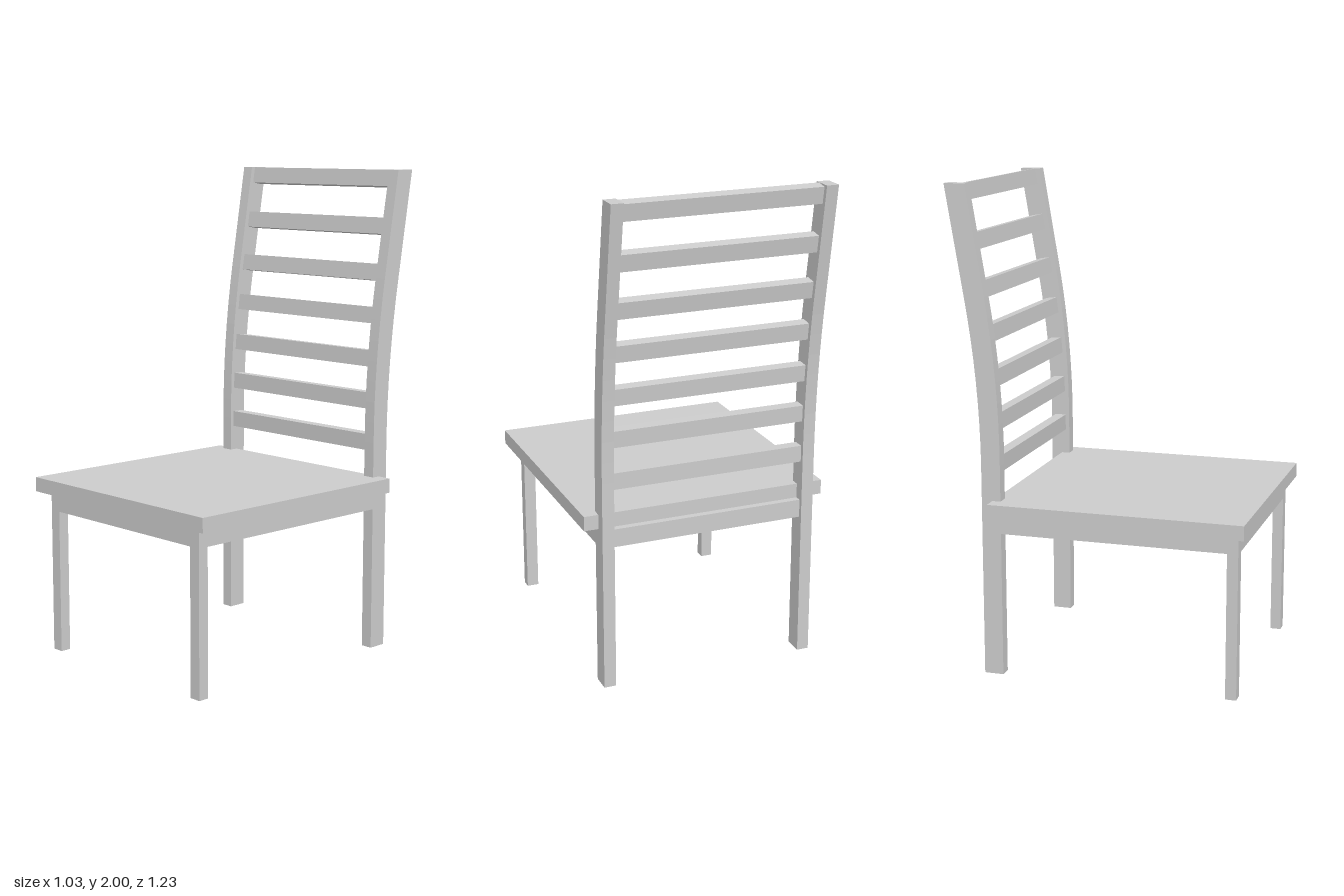
import * as THREE from 'three';

const POST_X = 0.43, W = 0.05;
const BEND_START = 0.88, BEND_END = 1.56, LEAN = 0.168;

// Centre line of the back posts: upright, then a gentle bend, then a straight lean
function backSlope(y) {
  return LEAN * THREE.MathUtils.clamp((y - BEND_START) / (BEND_END - BEND_START), 0, 1);
}
function backZ(y) {
  const bend = BEND_END - BEND_START;
  const t = THREE.MathUtils.clamp(y - BEND_START, 0, bend);
  return -0.44 - LEAN * t * t / (2 * bend) - LEAN * Math.max(0, y - BEND_END);
}

export function createModel() {
  const chair = new THREE.Group();
  chair.name = 'chair';
  const material = new THREE.MeshStandardMaterial({ color: 0xcccccc });

  function add(name, geometry, x, y, z) {
    const mesh = new THREE.Mesh(geometry, material);
    mesh.name = name;
    mesh.position.set(x, y, z);
    chair.add(mesh);
    return mesh;
  }
  // Box given by its limits on each axis
  function box(name, x0, x1, y0, y1, z0, z1) {
    return add(name, new THREE.BoxGeometry(x1 - x0, y1 - y0, z1 - z0),
      (x0 + x1) / 2, (y0 + y1) / 2, (z0 + z1) / 2);
  }

  box('seat', -0.515, 0.515, 0.675, 0.735, -0.435, 0.615);

  // Side profile of a back post, extruded across its width
  const heights = [0, BEND_START];
  for (let i = 1; i <= 8; i++) heights.push(BEND_START + (BEND_END - BEND_START) * i / 8);
  heights.push(2);
  const half = y => 0.04 + 0.0025 * backSlope(y) / LEAN;
  const front = heights.map(y => new THREE.Vector2(-backZ(y) - half(y), y));
  const rear = heights.map(y => new THREE.Vector2(-backZ(y) + half(y), y)).reverse();
  const postGeometry = new THREE.ExtrudeGeometry(new THREE.Shape([...front, ...rear]),
    { depth: W, bevelEnabled: false });
  postGeometry.translate(0, 0, -W / 2).rotateY(Math.PI / 2);

  // Legs and side aprons, mirrored
  for (const [side, s] of [['right', -1], ['left', 1]]) {
    const x0 = s * POST_X - W / 2, x1 = s * POST_X + W / 2;
    add(side + 'BackPost', postGeometry, s * POST_X, 0, 0);
    box(side + 'FrontLeg', x0, x1, 0, 0.6, 0.535, 0.58);
    box(side + 'Apron', x0, x1, 0.6, 0.675, -0.41, 0.58);
  }

  // Aprons across the front and back
  const inner = POST_X - W / 2;
  box('frontApron', -inner, inner, 0.6, 0.675, 0.535, 0.58);
  box('backApron', -inner, inner, 0.6, 0.675, -0.463, -0.417);

  // Back slats, each tilted to follow the posts
  const slatGeometry = new THREE.BoxGeometry(inner * 2, 0.068, 0.047);
  [0.876, 1.05, 1.224, 1.402, 1.578, 1.767, 1.962].forEach((y, i) => {
    add('backSlat' + (i + 1), slatGeometry, 0, y, backZ(y)).rotation.x = -Math.atan(backSlope(y));
  });

  return chair;
}
